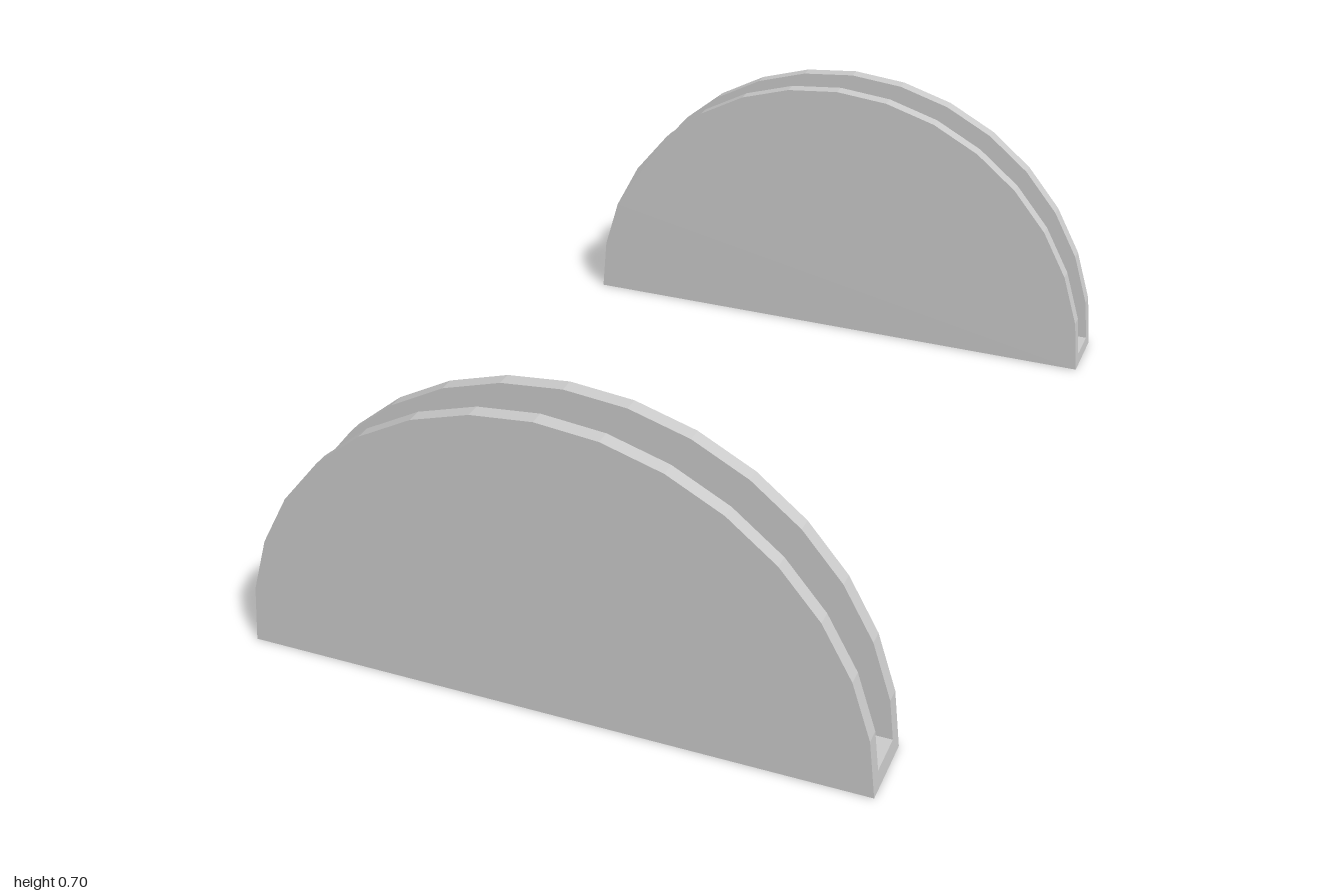
import * as THREE from 'three';

const RADIUS = 0.705, SEGMENTS = 16;
const WIDTH = 0.167, WALL = 0.034;

export function createModel() {
  const group = new THREE.Group();
  const material = new THREE.MeshStandardMaterial({ color: 0xcccccc, flatShading: true });

  // half-disc outline with straight facets
  const arc = [];
  for (let i = 0; i <= SEGMENTS; i++) {
    const a = (i / SEGMENTS) * Math.PI;
    arc.push(new THREE.Vector2(RADIUS * Math.cos(a), RADIUS * Math.sin(a)));
  }
  const halfDisc = new THREE.Shape(arc);

  // slot floor strip whose ends follow the first facet of the arc
  const floorStrip = (height) => {
    const end = arc[0].clone().lerp(arc[1], height / arc[1].y);
    return new THREE.Shape([
      arc[0].clone(), end,
      new THREE.Vector2(-end.x, end.y), new THREE.Vector2(-RADIUS, 0),
    ]);
  };

  const addSlab = (parent, name, shape, depth, z) => {
    const geometry = new THREE.ExtrudeGeometry(shape, { depth, bevelEnabled: false });
    const mesh = new THREE.Mesh(geometry, material);
    mesh.name = name;
    mesh.position.z = z;
    parent.add(mesh);
  };

  // slotted holder: two half-disc walls joined by a thin floor
  const addHolder = (name, z, floorHeight) => {
    const holder = new THREE.Group();
    holder.name = name;
    holder.position.z = z;
    addSlab(holder, 'backWall', halfDisc, WALL, 0);
    addSlab(holder, 'slotFloor', floorStrip(floorHeight), WIDTH - 2 * WALL, WALL);
    addSlab(holder, 'frontWall', halfDisc, WALL, WIDTH - WALL);
    group.add(holder);
  };

  addHolder('frontHolder', 1 - WIDTH, 0.042);
  addHolder('backHolder', -1, 0.031);
  return group;
}
